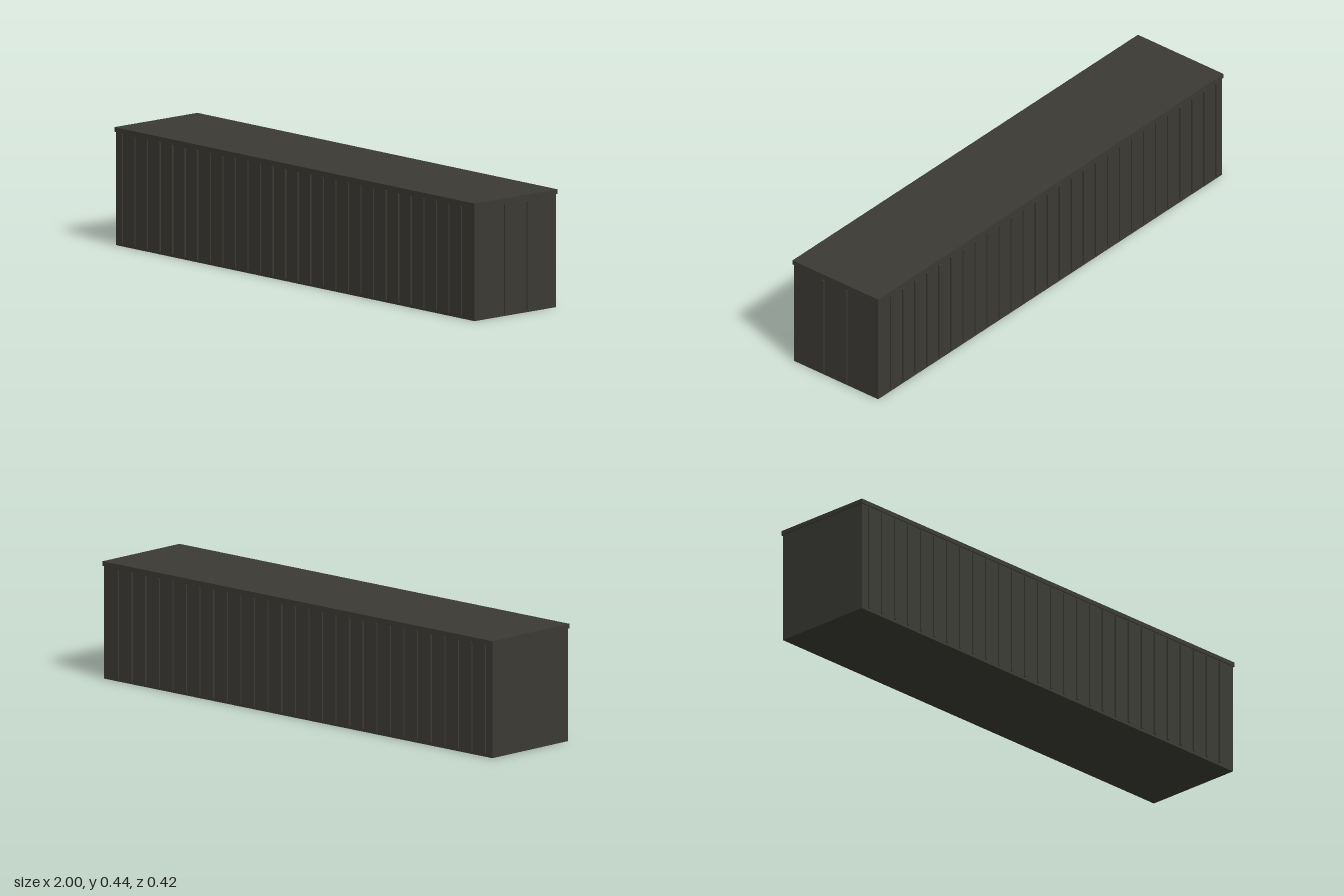
import * as THREE from 'three';

export function createModel() {
  const group = new THREE.Group();
  group.name = 'cargoContainer';
  const paint = new THREE.MeshStandardMaterial({ color: 0x3b3a34 });
  paint.name = 'dark olive paint';

  // Adds a box given by its lower and upper limits on each axis
  const addBox = (name, [x0, x1], [y0, y1], [z0, z1]) => {
    const mesh = new THREE.Mesh(new THREE.BoxGeometry(x1 - x0, y1 - y0, z1 - z0), paint);
    mesh.position.set((x0 + x1) / 2, (y0 + y1) / 2, (z0 + z1) / 2);
    mesh.name = name;
    group.add(mesh);
  };

  // Main body and overhanging roof
  addBox('body', [-0.996, 0.989], [0, 0.429], [-0.203, 0.203]);
  addBox('roof', [-1, 0.994], [0.428, 0.445], [-0.207, 0.207]);

  // Upright ribs along both long walls
  const ribCount = 28, firstRib = -0.96, ribSpacing = 0.0695, halfRib = 0.004;
  for (let i = 0; i < ribCount; i++) {
    const x = firstRib + i * ribSpacing;
    addBox('frontRib', [x - halfRib, x + halfRib], [0.011, 0.422], [0.203, 0.209]);
    addBox('backRib', [x - halfRib, x + halfRib], [0.011, 0.422], [-0.209, -0.203]);
  }

  // Two upright bars standing just off the door end
  for (const z of [-0.056, 0.056]) {
    addBox('doorBar', [0.994, 1], [0.01, 0.422], [z - halfRib, z + halfRib]);
  }

  return group;
}
